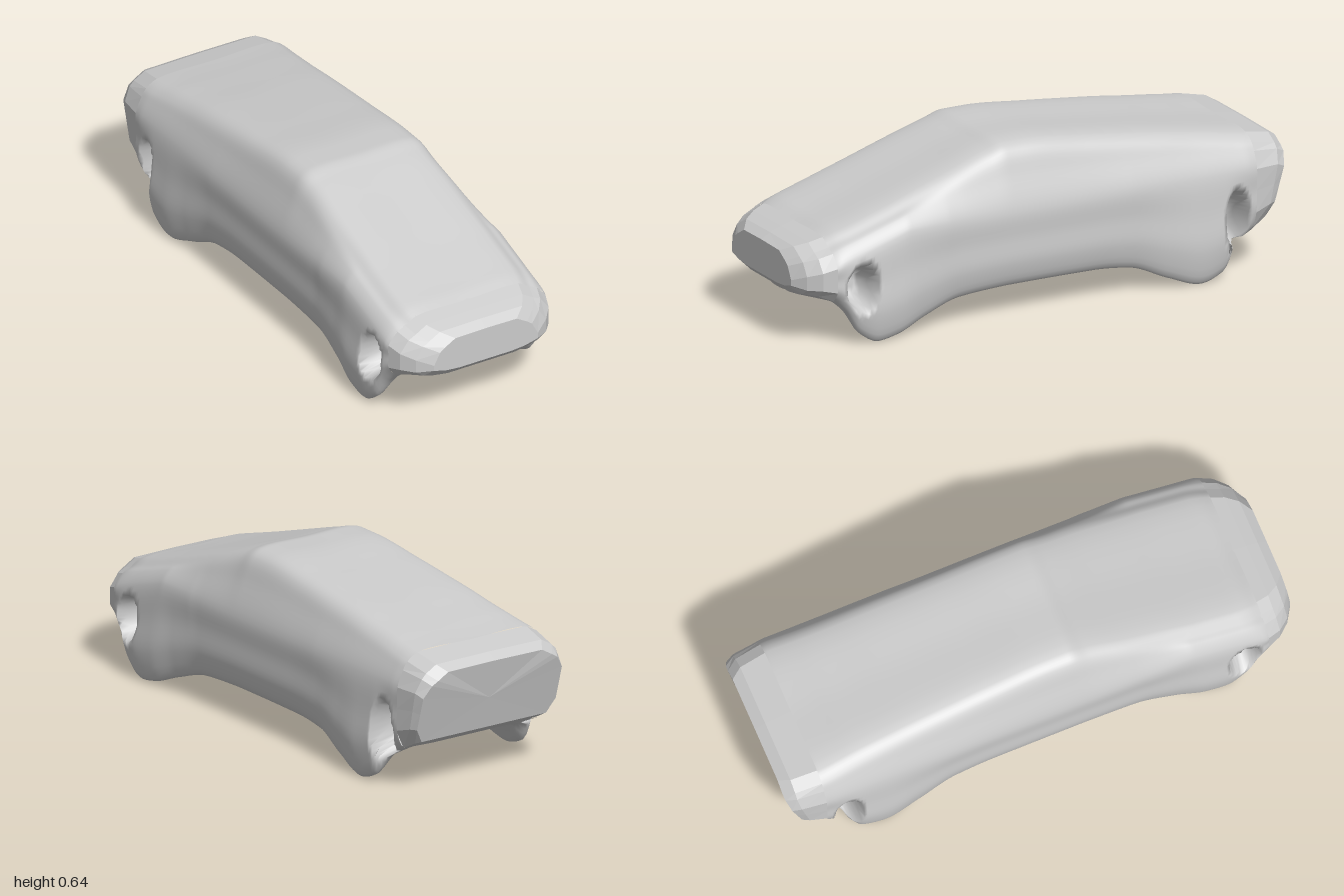
import * as THREE from 'three';

// Stations along the length: z, roof height, roof half-width, side half-width, belly height, sill/foot height
const STATIONS = [
  [-1.0, 0.475, 0.25, 0.31, 0.2, 0.2],
  [-0.93, 0.51, 0.285, 0.33, 0.18, 0.185],
  [-0.85, 0.52, 0.285, 0.335, 0.155, 0.16],
  [-0.78, 0.53, 0.28, 0.345, 0.15, 0.12],
  [-0.72, 0.54, 0.275, 0.36, 0.15, 0.03],
  [-0.63, 0.553, 0.27, 0.362, 0.14, 0.0],
  [-0.5, 0.573, 0.265, 0.35, 0.13, 0.04],
  [-0.35, 0.592, 0.26, 0.337, 0.12, 0.1],
  [-0.2, 0.61, 0.255, 0.335, 0.115, 0.115],
  [0.05, 0.634, 0.25, 0.335, 0.115, 0.117],
  [0.13, 0.634, 0.25, 0.335, 0.115, 0.117],
  [0.2, 0.615, 0.25, 0.335, 0.115, 0.115],
  [0.35, 0.565, 0.26, 0.335, 0.12, 0.105],
  [0.5, 0.515, 0.265, 0.345, 0.13, 0.06],
  [0.62, 0.475, 0.27, 0.36, 0.14, 0.015],
  [0.7, 0.45, 0.27, 0.362, 0.15, 0.002],
  [0.78, 0.425, 0.27, 0.355, 0.15, 0.045],
  [0.83, 0.41, 0.265, 0.345, 0.15, 0.13],
  [0.88, 0.39, 0.255, 0.33, 0.155, 0.18],
  [0.93, 0.375, 0.24, 0.31, 0.165, 0.195],
  [0.97, 0.36, 0.21, 0.27, 0.18, 0.2],
  [1.0, 0.34, 0.17, 0.22, 0.21, 0.22],
];

// Wheel-arch hollows in the flanks: centre z, y, radii and depth
const ARCHES = [
  { z: 0.77, y: 0.215, rz: 0.065, ry: 0.09, depth: 0.13 },
  { z: -0.775, y: 0.22, rz: 0.055, ry: 0.115, depth: 0.13 },
];

const { lerp, clamp, smoothstep } = THREE.MathUtils;

// Smooth interpolation of the station values (cubic Hermite, limited slopes)
function stationAt(z) {
  const S = STATIONS;
  let i = 0;
  while (i < S.length - 2 && z > S[i + 1][0]) i++;
  const slope = (k, c) => {
    if (k === 0 || k === S.length - 1) return null;
    const a = (S[k][c] - S[k - 1][c]) / (S[k][0] - S[k - 1][0]);
    const b = (S[k + 1][c] - S[k][c]) / (S[k + 1][0] - S[k][0]);
    return a * b <= 0 ? 0 : (2 * a * b) / (a + b);
  };
  const h = S[i + 1][0] - S[i][0], t = clamp((z - S[i][0]) / h, 0, 1);
  return [1, 2, 3, 4, 5].map((c) => {
    const p = S[i][c], q = S[i + 1][c], d = (q - p) / h;
    const m = (slope(i, c) ?? d) * h, n = (slope(i + 1, c) ?? d) * h;
    return p + t * (m + t * (3 * (q - p) - 2 * m - n + t * (m + n - 2 * (q - p))));
  });
}

// One closed cross-section, anticlockwise from the belly centre
function section(z, count) {
  const [top, roof, side, belly, foot] = stationAt(z);
  const belt = Math.min(0.4, top - 0.09);
  const beltX = Math.min(side, 0.337);
  const low = lerp(foot, belt, 0.3);
  const narrow = side / 0.335;
  const half = [
    [0.17 * Math.min(1, narrow), belly],
    [0.255 * Math.min(1, narrow), lerp(belly, foot, 0.5)],
    [side - 0.032, foot],
    [side, low],
    [lerp(side, beltX, 0.4), lerp(low, belt, 0.5)],
    [beltX, belt],
    [lerp(beltX, roof, 0.5), lerp(belt, top, 0.52)],
    [roof + 0.005, top - 0.028],
    [roof - 0.04, top - 0.002],
  ];
  const loop = [[0, belly], ...half, [0, top], ...half.map(([x, y]) => [-x, y]).reverse()];
  const curve = new THREE.CatmullRomCurve3(loop.map(([x, y]) => new THREE.Vector3(x, y, 0)), true);
  return Array.from({ length: count }, (_, j) => {
    const p = curve.getPoint(j / count);
    p.y = Math.max(p.y, 0);
    p.z = z;
    // Press the wheel-arch hollows into both flanks
    for (const a of ARCHES) {
      const d = Math.hypot((z - a.z) / a.rz, (p.y - a.y) / a.ry);
      const press = a.depth * (1 - smoothstep(d, 0.6, 1)) * smoothstep(Math.abs(p.x), 0.15, 0.3);
      p.x -= Math.sign(p.x) * press;
    }
    // Rake the tail panel inwards towards its lower edge
    const tail = clamp((-0.85 - z) / 0.15, 0, 1);
    p.z += 0.07 * tail * clamp((0.44 - p.y) / 0.24, 0, 1);
    return p;
  });
}

// Skin a run of sections, optionally closing an end (-1 rear, 1 front)
function loft(name, zs, count, flatShading, cap = 0) {
  const pos = [], index = [];
  zs.forEach((z) => section(z, count).forEach((p) => pos.push(p.x, p.y, p.z)));
  for (let i = 0; i < zs.length - 1; i++) {
    for (let j = 0; j < count; j++) {
      const k = (j + 1) % count;
      const a = i * count + j, b = i * count + k;
      index.push(a, b, a + count, b, b + count, a + count);
    }
  }
  if (cap) {
    const row = cap > 0 ? (zs.length - 1) * count : 0;
    const ring = section(cap > 0 ? zs[zs.length - 1] : zs[0], count);
    const mid = ring.reduce((s, p) => s.add(p), new THREE.Vector3()).divideScalar(count);
    const c = pos.length / 3;
    pos.push(0, mid.y, mid.z);
    for (let j = 0; j < count; j++) {
      const a = row + j, b = row + ((j + 1) % count);
      if (cap > 0) index.push(c, a, b);
      else index.push(c, b, a);
    }
  }
  const geo = new THREE.BufferGeometry();
  geo.setAttribute('position', new THREE.Float32BufferAttribute(pos, 3));
  geo.setIndex(index);
  geo.computeVertexNormals();
  const mesh = new THREE.Mesh(geo, new THREE.MeshStandardMaterial({ color: 0xcccccc, flatShading }));
  mesh.name = name;
  return mesh;
}

export function createModel() {
  const car = new THREE.Group();
  car.name = 'carBody';

  // Smooth cabin, flanks, belly and wheel feet
  const steps = 150;
  const zs = Array.from({ length: steps + 1 }, (_, i) => lerp(-0.86, 0.87, i / steps));
  car.add(loft('bodyShell', zs, 100, false));

  // Faceted nose and tail
  car.add(loft('nose', [0.865, 0.92, 0.965, 1.0], 20, true, 1));
  car.add(loft('tail', [-1.0, -0.96, -0.855], 20, true, -1));

  return car;
}
